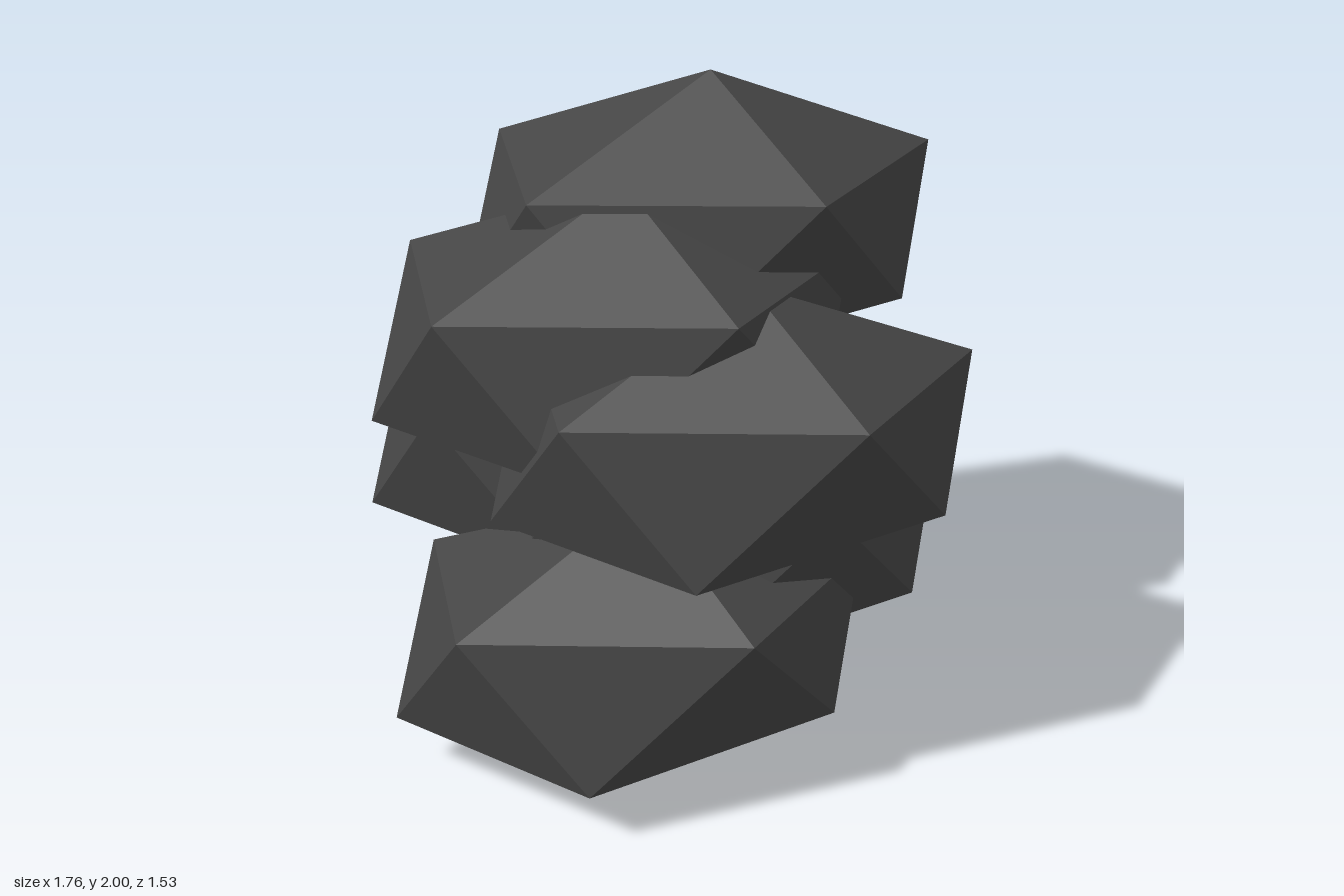
import * as THREE from 'three';

// One faceted lump: two five-sided rings closed by a top and a bottom point.
// Coordinates are relative to the vertical axis of the lump, y from its base.
function lumpGeometry() {
  const top = [0, 0.8875, 0];
  const bottom = [0, 0, 0];
  const upper = [
    [0.682, 0.61, 0], [0.236, 0.64, 0.485], [-0.598, 0.63, 0.29],
    [-0.598, 0.63, -0.286], [0.204, 0.61, -0.423],
  ];
  const lower = [
    [0.543, 0.212, 0.265], [-0.25, 0.18, 0.494], [-0.764, 0.186, 0],
    [-0.247, 0.186, -0.495], [0.602, 0.198, -0.297],
  ];
  const points = [];
  for (let i = 0; i < 5; i++) {
    const j = (i + 1) % 5;
    points.push(top, upper[j], upper[i]);
    points.push(upper[i], upper[j], lower[i]);
    points.push(lower[i], upper[j], lower[j]);
    points.push(lower[i], lower[j], bottom);
  }
  const geometry = new THREE.BufferGeometry();
  geometry.setAttribute('position', new THREE.Float32BufferAttribute(points.flat(), 3));
  geometry.computeVertexNormals();
  return geometry;
}

export function createModel() {
  const group = new THREE.Group();
  group.name = 'rockPile';
  const charcoal = new THREE.MeshStandardMaterial({ color: 0x454545, flatShading: true });
  charcoal.name = 'charcoal';
  const geometry = lumpGeometry();

  // Six equal lumps rise in even steps, swinging left and right
  // while moving from front to back twice
  for (let i = 0; i < 6; i++) {
    const lump = new THREE.Mesh(geometry, charcoal);
    lump.name = `rock${i + 1}`;
    lump.position.set(i % 2 ? 0.195 : -0.117, i * 0.2225, 0.27 * (1 - (i % 3)));
    group.add(lump);
  }
  return group;
}
